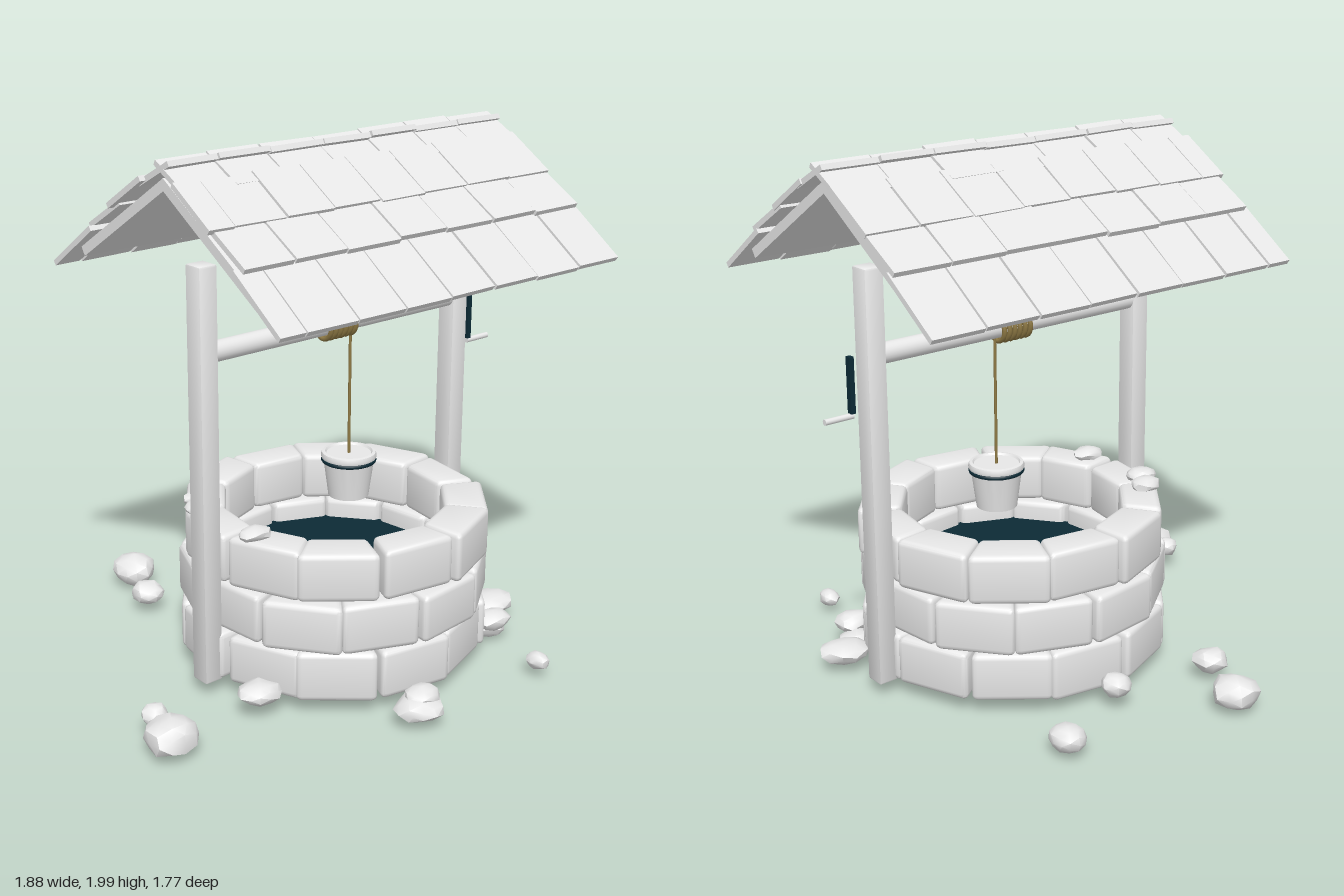
import * as THREE from 'three';
import { mergeVertices, toCreasedNormals } from 'three/addons/utils/BufferGeometryUtils.js';
import { RoundedBoxGeometry } from 'three/addons/geometries/RoundedBoxGeometry.js';

const C = 0.13; // the well's axis in both x and z

export function createModel() {
  const model = new THREE.Group();
  const grey = new THREE.MeshStandardMaterial({ color: 0xe7e7e7 });
  grey.name = 'pale grey';
  const dark = new THREE.MeshStandardMaterial({ color: 0x0c2a35, side: THREE.DoubleSide });
  dark.name = 'dark teal';
  const ropeColour = new THREE.MeshStandardMaterial({ color: 0x8f7a45 });
  ropeColour.name = 'rope tan';

  let seed = 7;
  const rand = (a) => {
    seed = (seed * 16807) % 2147483647;
    return (seed / 2147483647 - 0.5) * 2 * a;
  };
  const group = (name) => {
    const g = new THREE.Group();
    g.name = name;
    model.add(g);
    return g;
  };
  const add = (parent, name, geometry, material, x = 0, y = 0, z = 0) => {
    const m = new THREE.Mesh(geometry, material);
    m.name = name;
    m.position.set(x, y, z);
    parent.add(m);
    return m;
  };

  // Ring wall: three courses of twelve wedge-shaped stones, joints staggered
  const wall = group('stoneWall');
  const inner = 0.41, outer = 0.567, mid = (inner + outer) / 2;
  const halfTan = Math.tan(Math.PI / 12);
  [[0.155, 21], [0.343, 7], [0.538, 21]].forEach(([y, offset]) => {
    for (let i = 0; i < 12; i++) {
      const grow = rand(0.012);
      let geo = new RoundedBoxGeometry(2 * halfTan * mid - 0.004, 0.188 + rand(0.006), outer - inner + grow, 2, 0.022);
      const p = geo.attributes.position;
      for (let k = 0; k < p.count; k++) p.setX(k, p.getX(k) * (1 + p.getZ(k) / mid));
      geo = toCreasedNormals(geo, 0.6);
      const a = THREE.MathUtils.degToRad(offset + i * 30 + rand(1.2));
      const r = mid + grow / 2;
      const stone = add(wall, 'wallStone', geo, grey, C + Math.sin(a) * r, y, C + Math.cos(a) * r);
      stone.rotation.set(0, a + rand(0.02), 0);
    }
  });

  // Water inside the well
  const water = add(model, 'water', new THREE.CircleGeometry(0.44, 40), dark, C, 0.36, C);
  water.rotation.x = -Math.PI / 2;

  // Posts, winding beam and crank
  const frame = group('frame');
  for (const x of [-0.481, 0.742]) {
    add(frame, 'post', toCreasedNormals(new RoundedBoxGeometry(0.078, 1.565, 0.08, 1, 0.008), 0.6), grey, x, 0.842, C);
  }
  const beam = add(frame, 'windingBeam', new THREE.CylinderGeometry(0.038, 0.038, 1.16, 24), grey, C, 1.306, C);
  beam.rotation.z = Math.PI / 2;
  add(frame, 'crankArm', new THREE.BoxGeometry(0.018, 0.205, 0.024), dark, 0.828, 1.217, C);
  const grip = add(frame, 'crankGrip', new THREE.CylinderGeometry(0.011, 0.011, 0.115, 14), grey, 0.882, 1.105, C);
  grip.rotation.z = Math.PI / 2;

  // Rope coiled on the beam, then hanging to the bucket
  const rope = group('rope');
  const turns = 6, coil = [];
  for (let i = 0; i <= turns * 12; i++) {
    const a = (i / 12) * Math.PI * 2;
    coil.push(new THREE.Vector3(0.058 + (0.145 * i) / (turns * 12), 1.306 + 0.051 * Math.cos(a), C + 0.051 * Math.sin(a)));
  }
  add(rope, 'ropeCoil', new THREE.TubeGeometry(new THREE.CatmullRomCurve3(coil), turns * 20, 0.0095, 8), ropeColour);
  add(rope, 'hangingRope', new THREE.CylinderGeometry(0.0055, 0.0055, 0.52, 8), ropeColour, 0.204, 1.035, C);

  // Bucket with a rim and a dark hoop
  const bucket = group('bucket');
  bucket.position.set(0.204, 0, C);
  const profile = [[0, 0.612], [0.077, 0.612], [0.097, 0.762], [0.104, 0.764], [0.106, 0.774], [0.102, 0.786], [0.09, 0.788], [0.085, 0.78], [0, 0.78]];
  const body = new THREE.LatheGeometry(profile.map((q) => new THREE.Vector2(...q)), 32);
  add(bucket, 'bucketBody', toCreasedNormals(body, 0.6), grey);
  const hoop = add(bucket, 'bucketHoop', new THREE.TorusGeometry(0.097, 0.0085, 8, 32), dark, 0, 0.755, 0);
  hoop.rotation.x = Math.PI / 2;

  // Roof: a plank panel and four shingle rows per slope
  const roof = group('roof');
  // places a slab between two points given as distance from the ridge and height
  const slab = (name, s, [d0, y0], [d1, y1], x, w, t, j = 0) => {
    const geo = new THREE.BoxGeometry(w, t, Math.hypot(d0 - d1, y1 - y0) + rand(j));
    const m = add(roof, name, geo, grey, x, (y0 + y1) / 2 + rand(j / 3), C + (s * (d0 + d1)) / 2);
    m.rotation.set(s * Math.atan2(y1 - y0, d0 - d1), rand(j * 2), rand(j), 'YXZ');
  };
  const fullRow = [-0.665, -0.555, -0.337, -0.13, 0.08, 0.288, 0.502, 0.72, 0.935];
  const shiftedRow = [-0.642, -0.43, -0.205, 0.035, 0.255, 0.48, 0.7, 0.93];
  const rows = [
    [[0.63, 1.536], [0.4, 1.7], fullRow],
    [[0.43, 1.707], [0.245, 1.818], shiftedRow],
    [[0.282, 1.805], [0.09, 1.925], fullRow],
    [[0.126, 1.9], [-0.036, 1.987], shiftedRow],
  ];
  for (const s of [1, -1]) {
    slab('roofPanel', s, [0.492, 1.6], [-0.01, 1.919], 0.135, 1.53, 0.036);
    for (const [low, high, edges] of rows) {
      for (let i = 0; i < edges.length - 1; i++) {
        const w = edges[i + 1] - edges[i];
        slab('shingle', s, low, high, edges[i] + w / 2, w - 0.006, 0.02, 0.009);
      }
    }
  }

  // Loose rocks on the ground and on the rim: x, y, z, half sizes
  const rocks = group('rocks');
  [
    [-0.16, 0.078, -0.795, 0.085, 0.065, 0.095], [-0.255, 0.085, -0.57, 0.064, 0.045, 0.066],
    [0.51, 0.075, -0.652, 0.067, 0.048, 0.068], [0.16, 0.1, -0.51, 0.056, 0.045, 0.055],
    [-0.845, 0.08, 0.4, 0.098, 0.067, 0.092], [-0.825, 0.1, 0.278, 0.05, 0.04, 0.047],
    [-0.055, 0.075, 0.8, 0.09, 0.045, 0.085], [-0.03, 0.108, 0.79, 0.07, 0.035, 0.06],
    [0.535, 0.07, 0.83, 0.037, 0.032, 0.05], [0.61, 0.105, 0.53, 0.075, 0.04, 0.06],
    [0.75, 0.08, 0.38, 0.1, 0.04, 0.085], [-0.45, 0.1, 0.39, 0.08, 0.042, 0.07],
    [0.64, 0.05, 0.47, 0.07, 0.045, 0.07],
    [-0.36, 0.648, 0.26, 0.065, 0.026, 0.05], [-0.36, 0.65, -0.06, 0.06, 0.028, 0.055],
    [-0.31, 0.648, -0.14, 0.06, 0.028, 0.05],
  ].forEach(([x, y, z, sx, sy, sz]) => {
    let geo = new THREE.IcosahedronGeometry(1, 1);
    geo.deleteAttribute('uv');
    geo.deleteAttribute('normal');
    geo = mergeVertices(geo, 1e-3);
    const p = geo.attributes.position;
    for (let k = 0; k < p.count; k++) {
      const f = 1 + rand(0.1);
      p.setXYZ(k, p.getX(k) * f * sx, p.getY(k) * f * sy, p.getZ(k) * f * sz);
    }
    add(rocks, 'rock', toCreasedNormals(geo, 0.75), grey, x, y, z);
  });

  return model;
}
